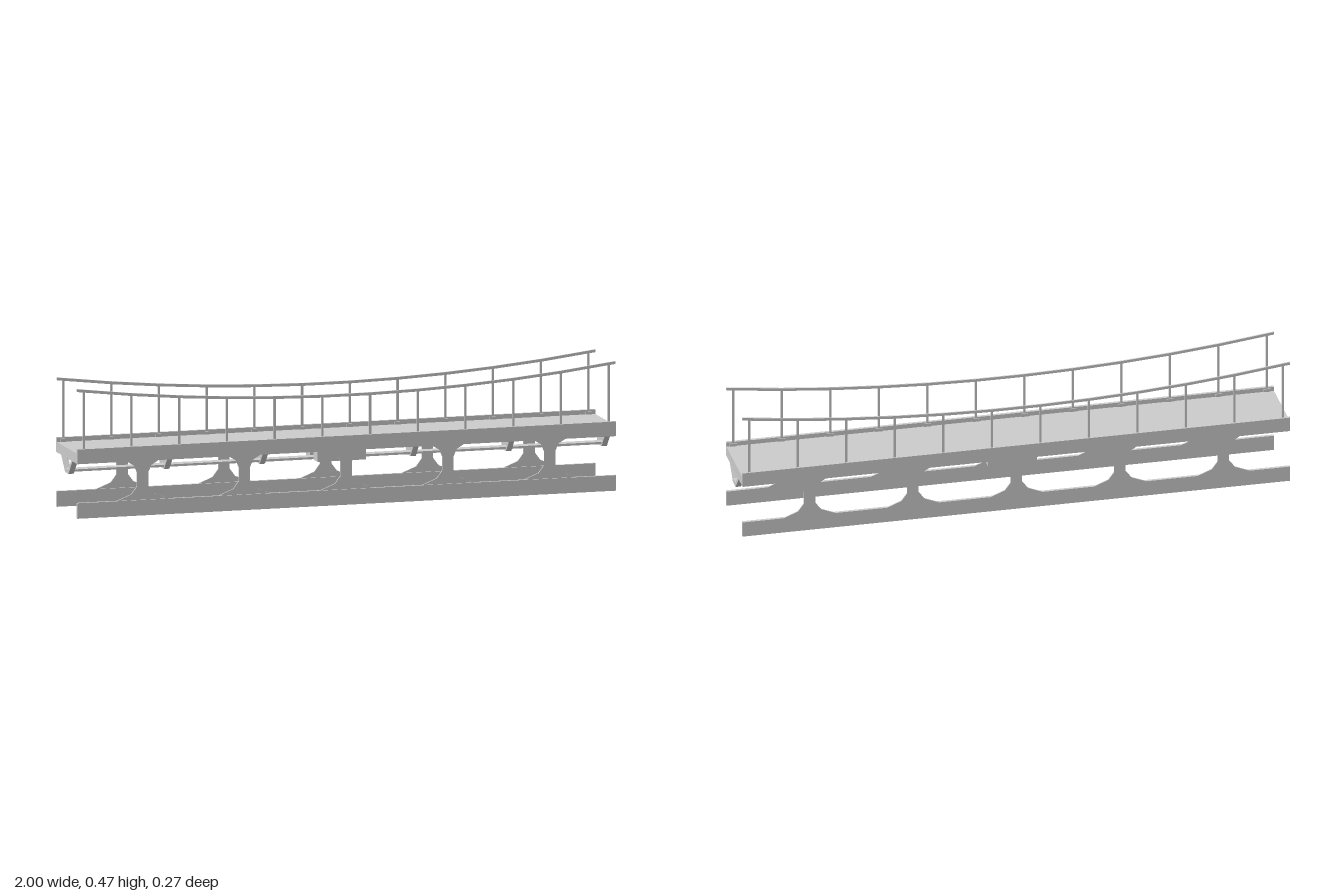
import * as THREE from 'three';

const material = new THREE.MeshStandardMaterial({ color: 0xcccccc, flatShading: true });

function add(parent, name, geometry, x = 0, y = 0, z = 0) {
  const mesh = new THREE.Mesh(geometry, material);
  mesh.name = name;
  mesh.position.set(x, y, z);
  parent.add(mesh);
  return mesh;
}

// Box given by its limits on each axis
function box(parent, name, [x0, x1], [y0, y1], [z0, z1]) {
  return add(parent, name, new THREE.BoxGeometry(x1 - x0, y1 - y0, z1 - z0),
    (x0 + x1) / 2, (y0 + y1) / 2, (z0 + z1) / 2);
}

function extrude(points, depth) {
  const shape = new THREE.Shape(points.map(([x, y]) => new THREE.Vector2(x, y)));
  return new THREE.ExtrudeGeometry(shape, { depth, bevelEnabled: false });
}

const mirrored = (half) => [...half, ...half.map(([x, y]) => [-x, y]).reverse()];

export function createModel() {
  const bridge = new THREE.Group();
  bridge.name = 'footbridge';
  const full = [-1, 1];

  // Deck
  box(bridge, 'deck', full, [0.197, 0.234], [-0.1225, 0.1225]);
  box(bridge, 'deckSoffitStrip', full, [0.194, 0.197], [-0.009, 0.009]);

  // Side girders: two chords joined by flared web posts
  const webOutline = mirrored([
    [0.095, 0.056], [0.042, 0.077], [0.021, 0.105],
    [0.021, 0.155], [0.032, 0.18], [0.06, 0.197],
  ]);
  const webGeometry = extrude(webOutline, 0.0055);
  for (const side of [1, -1]) {
    const girder = new THREE.Group();
    girder.name = side > 0 ? 'frontGirder' : 'backGirder';
    bridge.add(girder);
    const z = side > 0 ? [0.1225, 0.1335] : [-0.1335, -0.1225];
    box(girder, 'topChord', full, [0.197, 0.25], z);
    box(girder, 'bottomChord', full, [0, 0.056], z);
    for (let i = -2; i <= 2; i++) add(girder, 'webPost', webGeometry, i * 0.378, 0, z[0]);
  }

  // Railings: sagging handrail on slim posts
  const railY = (x) => 0.395 + 0.067 * x * x;
  const postX = Array.from({ length: 12 }, (_, i) => -0.975 + i * 1.95 / 11);
  const railX = [-1, ...postX.slice(1, -1), 1];
  const railGeometry = extrude([
    ...railX.map((x) => [x, railY(x) - 0.005]),
    ...railX.map((x) => [x, railY(x) + 0.005]).reverse(),
  ], 0.0055);
  for (const side of [1, -1]) {
    const railing = new THREE.Group();
    railing.name = side > 0 ? 'frontRailing' : 'backRailing';
    bridge.add(railing);
    const z = side > 0 ? [0.1225, 0.128] : [-0.128, -0.1225];
    add(railing, 'handrail', railGeometry, 0, 0, z[0]);
    for (const x of postX) {
      box(railing, 'railPost', [x - 0.004, x + 0.004], [0.245, railY(x)], z);
      const inner = side > 0 ? [0.119, 0.1225] : [-0.1225, -0.119];
      box(railing, 'postBracket', [x - 0.013, x + 0.013], [0.234, 0.245], inner);
    }
  }

  // Cross frames hung beneath the deck
  const frameOutline = [
    [0.07, 0.197], [0.053, 0.197], [0.021, 0.158], [-0.021, 0.158], [-0.053, 0.197],
    [-0.07, 0.197], [-0.021, 0.143], [0.021, 0.143],
  ];
  const frameGeometry = extrude(frameOutline, 0.02).translate(0, 0, -0.01).rotateY(Math.PI / 2);
  for (const x of [-0.99, -0.635, -0.28, 0.28, 0.635, 0.99]) add(bridge, 'crossFrame', frameGeometry, x);

  // Service strip on the frames and twin boxes at midspan
  box(bridge, 'serviceStrip', full, [0.15, 0.158], [-0.02, 0.02]);
  for (const z of [[0.021, 0.072], [-0.072, -0.021]]) {
    box(bridge, 'midspanBox', [-0.09, 0.09], [0.149, 0.197], z);
  }
  return bridge;
}
